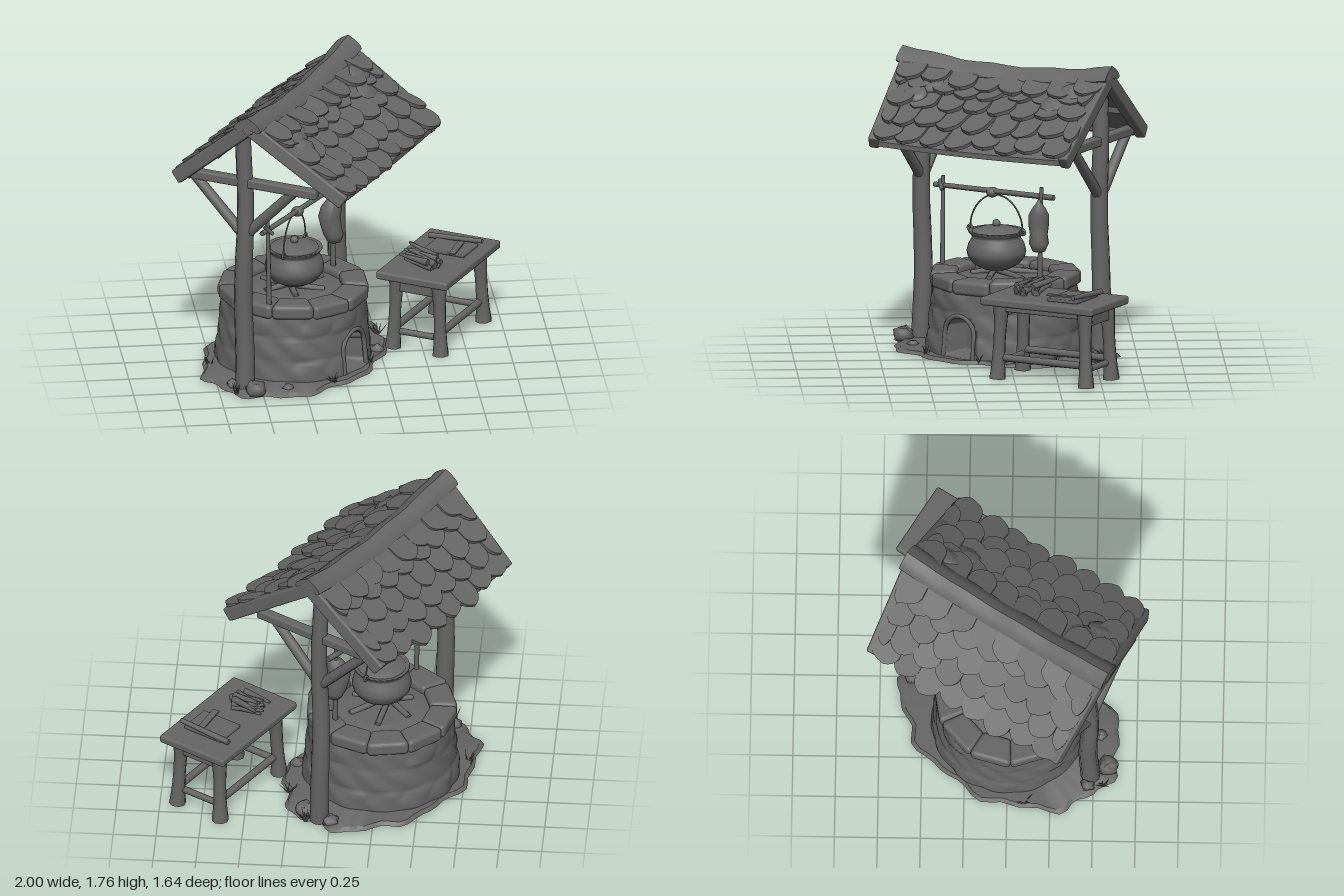
import * as THREE from 'three';
import { mergeGeometries, toCreasedNormals } from 'three/addons/utils/BufferGeometryUtils.js';
import { RoundedBoxGeometry } from 'three/addons/geometries/RoundedBoxGeometry.js';

const grey = new THREE.MeshStandardMaterial({ color: 0x666666, side: THREE.DoubleSide });
grey.name = 'weatheredGrey';

const V = (x, y, z) => new THREE.Vector3(x, y, z);
let seed = 7;
const rnd = (a = -1, b = 1) => {
  seed = (seed * 16807) % 2147483647;
  return a + (b - a) * (seed / 2147483647);
};
const hash = (a, b) => { const s = Math.sin(a * 12.99 + b * 78.23) * 43758.5; return s - Math.floor(s); };

function add(parent, name, geo, pos) {
  const m = new THREE.Mesh(geo, grey);
  m.name = name;
  if (pos) m.position.set(...pos);
  parent.add(m);
  return m;
}
// moves every vertex of a geometry by a rule
function warp(geo, rule) {
  const p = geo.attributes.position, v = V(0, 0, 0);
  for (let i = 0; i < p.count; i++) {
    v.fromBufferAttribute(p, i);
    rule(v);
    p.setXYZ(i, v.x, v.y, v.z);
  }
  geo.computeVertexNormals();
  return geo;
}
// aligns a mesh built along y with the line a-b
function span(m, a, b) {
  m.position.copy(a).lerp(b, 0.5);
  m.quaternion.setFromUnitVectors(V(0, 1, 0), b.clone().sub(a).normalize());
  return m;
}
const pole = (parent, name, a, b, r0, r1 = r0, sides = 9) =>
  span(add(parent, name, new THREE.CylinderGeometry(r1, r0, a.distanceTo(b), sides, 1)), a, b);
const plank = (parent, name, a, b, w, d) =>
  span(add(parent, name, new RoundedBoxGeometry(w, a.distanceTo(b), d, 2, Math.min(w, d) * 0.2)), a, b);

function rock(parent, x, z, r, h) {
  const geo = warp(new THREE.SphereGeometry(1, 9, 6), v => {
    const k = 0.85 + 0.15 * Math.sin(v.x * 5 + v.y * 4 + x * 9) * Math.cos(v.z * 4);
    v.set(v.x * r * k, Math.max(0, (v.y * 0.6 + 0.4) * h * k), v.z * r * k);
  });
  add(parent, 'rock', geo, [x, 0, z]);
}
function grass(parent, x, z) {
  for (let i = 0; i < 7; i++)
    pole(parent, 'grassBlade', V(x + rnd() * 0.01, 0, z + rnd() * 0.01),
      V(x + rnd() * 0.05, rnd(0.04, 0.08), z + rnd() * 0.05), 0.006, 0.0005, 3);
}

// roof surface: s runs from -1 (left eave) over 0 (ridge) to 1 (right eave)
const RIDGE_X = 0.03;
const sag = z => 0.055 * (1 - (z / 0.68) ** 2);
const roofAt = (s, z) => {
  const t = Math.abs(s);
  const skewed = z * (1 - 0.05 * t) - 0.05 * Math.max(s, 0);
  return V(RIDGE_X + s * (s < 0 ? 0.465 : 0.555), 1.68 - 0.41 * t - sag(z) * (1 - 0.8 * t), skewed);
};

function buildRoof(g) {
  const deck = warp(new THREE.BoxGeometry(2, 0.03, 1.32, 16, 1, 12), v => {
    const h = v.y;
    v.copy(roofAt(v.x, v.z));
    v.y += h;
  });
  add(g, 'roofDeck', toCreasedNormals(deck, 0.6));

  // overlapping rounded shingles in staggered rows
  for (const side of [-1, 1]) {
    const tiles = [], rows = 5, rough = side > 0 ? 1 : 0.4;
    for (let r = 0; r < rows; r++) {
      const odd = r % 2, n = 8 + odd;
      for (let c = 0; c < n; c++) {
        const end = odd && (c === 0 || c === n - 1);
        const w = (end ? 0.09 : 0.168) * rnd(0.97, 1.06), L = 0.22 + rnd() * 0.02;
        let z = -0.66 + (c + (odd ? 0 : 0.5)) * 0.165;
        if (end) z -= Math.sign(z) * 0.04;
        const sh = new THREE.Shape();
        sh.moveTo(-w / 2, 0);
        sh.lineTo(-w / 2, -L * 0.68);
        sh.quadraticCurveTo(-w * 0.42, -L * 0.92, rnd() * 0.025, -L);
        sh.quadraticCurveTo(w * 0.42, -L * 0.92, w / 2, -L * 0.68);
        sh.lineTo(w / 2, 0);
        const geo = new THREE.ExtrudeGeometry(sh, { depth: 0.022, bevelEnabled: false, curveSegments: 4 });
        geo.rotateZ(rnd() * 0.16 * rough);
        geo.rotateX(-0.13 - rnd(0, 0.12) * rough);
        geo.rotateY(rnd() * 0.12 * rough);
        const t = Math.max(0, (r + 1) / rows * 1.03 - 0.32);
        const p = roofAt(side * t, z);
        const up = p.clone().sub(roofAt(side * (t + 0.2), z)).normalize();
        const out = V(up.y * side, Math.abs(up.x), 0).normalize();
        const m = new THREE.Matrix4().makeBasis(up.clone().cross(out), up, out);
        m.setPosition(p.addScaledVector(out, 0.012));
        tiles.push(geo.applyMatrix4(m));
      }
    }
    add(g, side < 0 ? 'shinglesLeft' : 'shinglesRight', mergeGeometries(tiles));
  }

  // moss clumps on the right slope
  for (const [s, z] of [[0.25, -0.5], [0.3, 0.42], [0.4, -0.42], [0.45, 0.5]]) {
    const m = add(g, 'mossClump', warp(new THREE.SphereGeometry(1, 12, 8), v =>
      v.multiplyScalar(0.9 + 0.15 * Math.sin(v.x * 6 + z * 9) * Math.cos(v.z * 5))));
    m.scale.set(0.08, 0.028, 0.09);
    m.position.copy(roofAt(s, z)).add(V(0.02, 0.042, 0));
    m.rotation.z = -0.65;
  }

  // sagging ridge cap, folded over both slopes
  const ridge = warp(new THREE.CylinderGeometry(0.07, 0.07, 1.39, 12, 14).rotateX(Math.PI / 2), v => {
    v.y = v.y * 0.5 + 1.712 - Math.abs(v.x) * 0.55 - sag(v.z) + 0.006 * Math.sin(v.z * 17);
    v.x = RIDGE_X + v.x * 1.25;
  });
  add(g, 'ridgeCap', toCreasedNormals(ridge, 0.7));

  // gable frames: rafters, tie beam, post and braces
  for (const k of [-1, 1]) {
    const z = k * 0.665, pz = k * 0.6;
    for (const s of [-1, 1])
      plank(g, 'rafter', V(RIDGE_X - s * 0.015, 1.685, z), roofAt(s * 1.03, z).add(V(0, 0.015, 0)), 0.085, 0.06);
    plank(g, 'tieBeam', V(-0.36, 1.3, pz), V(0.44, 1.3, pz), 0.055, 0.06);
    const px = k > 0 ? -0.03 : 0.005;
    const post = warp(new THREE.CylinderGeometry(0.046, 0.058, 1.62, 10, 8), v => {
      v.x += 0.008 * Math.sin(v.y * 6);
      v.z += 0.006 * Math.cos(v.y * 7);
    });
    add(g, 'post', toCreasedNormals(post, 0.9), [px, 0.81, pz]);
    for (const s of [-1, 1])
      pole(g, 'brace', V(px, 0.96, pz), V(px + s * 0.33, 1.3, pz), 0.033, 0.03);
  }
  // lengthwise beams below the deck
  for (const s of [-0.9, -0.5, 0.5, 0.9]) {
    const y = V(0, -0.03, 0);
    plank(g, 'purlin', roofAt(s, -0.64).add(y), roofAt(s, 0.64).add(y), 0.035, 0.035);
  }
}

function buildHearth(g) {
  const H = 0.42, door = 1.4, half = 0.095;
  // rough stone wall with an arched fire opening
  const wall = warp(new THREE.CylinderGeometry(1, 1, H, 128, 30, true), v => {
    const y = v.y + H / 2, a = Math.atan2(v.x, v.z), row = Math.min(2, Math.floor(y / H * 3 + 1e-6));
    const u = (a / (2 * Math.PI) + 1) * 14 + row * 0.4 + 0.12 * Math.sin(y * 30);
    const f = u - Math.floor(u), fy = y / H * 3 - row;
    const edge = Math.abs(Math.sin(Math.PI * f) * Math.sin(Math.PI * fy)) ** 0.5;
    const lump = 0.005 * Math.sin(a * 11 + y * 25) * Math.sin(y * 19 + a * 3);
    let r = 0.455 - 0.1 * y + edge * (0.002 + 0.016 * hash(Math.floor(u) % 14, row)) + lump;
    const s = (a - door) * 0.43;
    if (Math.abs(s) < half && y > 0.03 && y < 0.16 + Math.sqrt(half * half - s * s)) r = 0.3;
    v.set(r * Math.sin(a), y, r * Math.cos(a));
  });
  add(g, 'stoneWall', wall);
  const arch = [];
  for (let i = 0; i <= 14; i++) {
    const b = Math.PI * (i - 2) / 10, q = i < 2 || i > 12;
    const s = q ? (i < 2 ? 0.105 : -0.105) : 0.105 * Math.cos(b);
    const y = q ? 0.02 + (i < 2 ? i : 14 - i) * 0.07 : 0.16 + 0.105 * Math.sin(b);
    const a = door + s / 0.43, r = 0.455 - 0.09 * y;
    arch.push(V(r * Math.sin(a), y, r * Math.cos(a)));
  }
  add(g, 'fireArch', new THREE.TubeGeometry(new THREE.CatmullRomCurve3(arch), 40, 0.014, 7));

  // ring of bent capstones
  for (let i = 0; i < 11; i++) {
    const a0 = i / 11 * Math.PI * 2, w = rnd(0.15, 0.175), lift = rnd() * 0.007;
    const geo = warp(new RoundedBoxGeometry(w, 0.085, 0.214, 3, 0.024), v => {
      const r = 0.362 + v.x, a = a0 + v.z / 0.37;
      v.set(r * Math.cos(a), v.y + 0.438 + lift, r * Math.sin(a));
    });
    add(g, 'capstone', geo);
  }
  add(g, 'ashBed', new THREE.CylinderGeometry(0.2, 0.34, 0.03, 32), [0, 0.44, 0]);
  for (let i = 0; i < 6; i++) {
    const a = i * 1.05;
    pole(g, 'firewood', V(0.2 * Math.cos(a), 0.455, 0.2 * Math.sin(a)), V(0.02 * Math.cos(a), 0.475, 0.06), 0.018);
  }

  // ragged ground patch
  const ground = warp(new THREE.CylinderGeometry(1, 1.04, 0.02, 72, 1), v => {
    const a = Math.atan2(v.z, v.x), k = 1 + 0.035 * Math.sin(a * 9) + 0.025 * Math.sin(a * 17 + 1);
    v.set(v.x * 0.48 * k, v.y + 0.01, v.z * 0.66 * k);
  });
  add(g, 'groundPatch', toCreasedNormals(ground, 0.7));
  for (const [x, z, r, h] of [[0.06, 0.64, 0.07, 0.1], [-0.1, 0.6, 0.05, 0.07], [0.1, -0.62, 0.07, 0.09],
    [-0.08, -0.62, 0.06, 0.07], [0.2, 0.5, 0.04, 0.05], [0.42, -0.25, 0.05, 0.06]]) rock(g, x, z, r, h);
  for (const [x, z] of [[0.4, 0.3], [0.45, -0.08], [-0.05, 0.68], [0.05, -0.68], [0.3, -0.5], [-0.38, 0.35]]) grass(g, x, z);
}

function buildSpit(g) {
  // coordinates here are in the model's frame
  pole(g, 'spitPole', V(-0.44, 0.42, 0.365), V(-0.45, 1.0, 0.36), 0.016, 0.012, 7);
  pole(g, 'spitPole', V(-0.005, 0.42, -0.18), V(-0.01, 1.01, -0.19), 0.016, 0.012, 7);
  pole(g, 'spitBar', V(-0.49, 0.94, 0.41), V(0.03, 0.955, -0.26), 0.015, 0.017, 8);
  pole(g, 'spitPeg', V(-0.42, 0.92, 0.37), V(-0.47, 0.97, 0.38), 0.012, 0.012, 6);
  const knot = add(g, 'ropeKnot', new THREE.SphereGeometry(0.034, 10, 8), [-0.245, 0.938, 0.085]);
  knot.scale.set(1.1, 0.9, 1.1);

  const lathe = (pts, n) => new THREE.LatheGeometry(pts.map(p => new THREE.Vector2(...p)), n);
  const pot = new THREE.Group();
  pot.name = 'cauldron';
  pot.position.set(-0.26, 0, 0.06);
  pot.rotation.y = -0.5;
  g.add(pot);
  add(pot, 'potBody', lathe([[0, 0.478], [0.08, 0.485], [0.135, 0.515], [0.166, 0.555], [0.174, 0.59],
    [0.163, 0.635], [0.143, 0.668], [0.145, 0.683], [0.165, 0.703], [0.162, 0.712], [0.14, 0.705]], 28));
  add(pot, 'lid', lathe([[0.145, 0.7], [0.14, 0.712], [0.08, 0.73], [0, 0.738]], 28));
  add(pot, 'lidKnob', new THREE.SphereGeometry(0.024, 10, 8), [0, 0.75, 0]);
  const arc = [];
  for (let i = 0; i <= 8; i++) {
    const a = Math.PI * i / 8;
    arc.push(V(0, 0.7 + 0.22 * Math.sin(a), 0.172 * Math.cos(a)));
  }
  add(pot, 'handle', new THREE.TubeGeometry(new THREE.CatmullRomCurve3(arc), 32, 0.005, 6));
  for (const k of [-1, 1]) {
    const ear = add(pot, 'handleEar', new THREE.TorusGeometry(0.016, 0.007, 6, 12), [0, 0.71, k * 0.17]);
    ear.rotation.y = Math.PI / 2;
  }

  const ham = warp(lathe([[0, 0.628], [0.04, 0.634], [0.06, 0.68], [0.062, 0.73], [0.066, 0.79],
    [0.062, 0.85], [0.045, 0.89], [0.018, 0.92], [0, 0.95]], 14), v => {
    v.x += 0.014 * Math.sin(v.y * 22);
    v.z *= 0.9 + 0.08 * Math.sin(v.y * 40);
  });
  add(g, 'hangingMeat', ham, [-0.015, 0, -0.175]);
}

function buildTable(g) {
  add(g, 'tableTop', new RoundedBoxGeometry(0.455, 0.05, 0.745, 3, 0.014), [0, 0.464, 0]);
  for (const x of [-1, 1]) {
    for (const z of [-1, 1]) {
      const leg = warp(new THREE.CylinderGeometry(0.037, 0.037, 0.44, 8, 6), v => {
        const k = 1 + 0.35 * (v.y / 0.22) ** 2;
        v.x *= k;
        v.z *= k;
      });
      const m = add(g, 'tableLeg', toCreasedNormals(leg, 0.9), [x * 0.144, 0.22, z * 0.285]);
      m.rotation.set(-z * 0.04, 0, x * 0.04);
    }
    pole(g, 'longStretcher', V(x * 0.14, 0.125, -0.28), V(x * 0.14, 0.125, 0.28), 0.022, 0.022, 8);
    plank(g, 'sideApron', V(x * 0.14, 0.42, -0.28), V(x * 0.14, 0.42, 0.28), 0.03, 0.04);
    pole(g, 'shortStretcher', V(-0.14, 0.1, x * 0.28), V(0.14, 0.1, x * 0.28), 0.02, 0.02, 8);
    add(g, 'endApron', new RoundedBoxGeometry(0.3, 0.085, 0.03, 2, 0.008), [0, 0.4, x * 0.29]);
  }
  // chopping board, knife and rolling stick
  add(g, 'choppingBoard', new RoundedBoxGeometry(0.26, 0.02, 0.2, 2, 0.006), [0.02, 0.498, -0.13]);
  pole(g, 'stick', V(-0.16, 0.51, -0.22), V(0.18, 0.53, -0.22), 0.018, 0.014, 8);
  const blade = add(g, 'knife', new THREE.BoxGeometry(0.04, 0.008, 0.2), [0.07, 0.513, -0.1]);
  blade.rotation.y = 0.15;
  // heap of root vegetables
  for (let i = 0; i < 12; i++) {
    const z = 0.18 + rnd() * 0.07, x = -0.04 + rnd() * 0.04, y = 0.5 + (i % 3) * 0.018;
    pole(g, 'rootVegetable', V(x + 0.09, y, z + rnd() * 0.03),
      V(x - 0.1, y + rnd(0.01, 0.05), z + rnd() * 0.06), 0.022, 0.008, 7);
  }
}

export function createModel() {
  const model = new THREE.Group();
  model.name = 'coveredHearth';
  const part = (name, x, z, turn, build) => {
    const g = new THREE.Group();
    g.name = name;
    g.position.set(x, 0, z);
    g.rotation.y = turn;
    build(g);
    model.add(g);
  };
  part('roof', -0.26, -0.02, -0.55, buildRoof);
  part('hearth', -0.26, 0.01, -0.55, buildHearth);
  part('spit', 0, 0, 0, buildSpit);
  part('table', 0.615, -0.235, -0.55, buildTable);
  return model;
}
